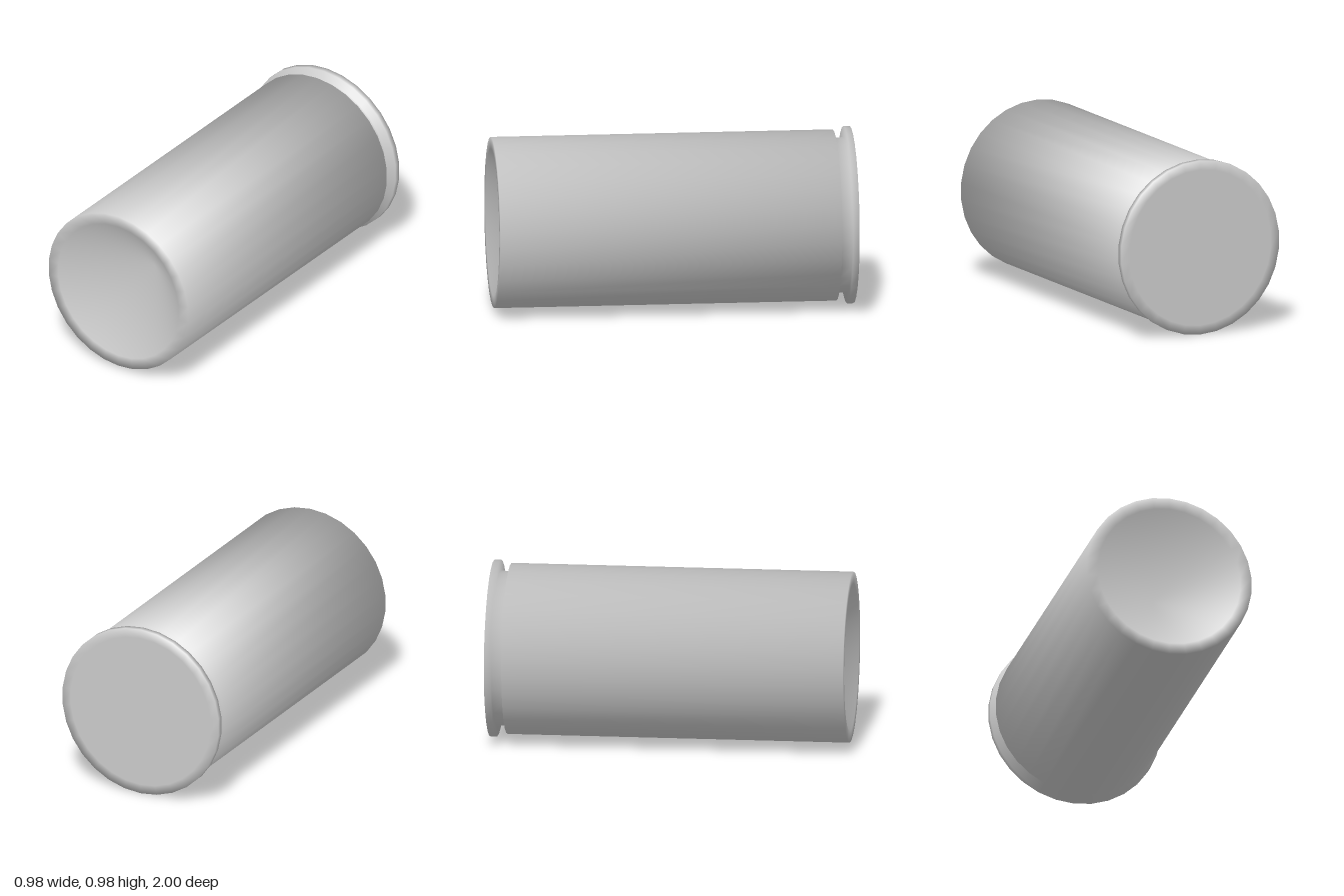
import * as THREE from 'three';

const SIDES = 30;
const CENTRE_Y = 0.492;

// Outline as [radius, z], from the centre of the base round to the bottom of the mouth
const profile = [
  [0, -1], [0.44, -1], [0.492, -1], [0.492, -0.965], // base rim
  [0.43, -0.965], [0.43, -0.905],                    // extractor groove
  [0.475, -0.905], [0.475, 1],                       // tube wall
  [0.41, 1], [0, 0.65],                              // lip and hollow mouth
].map(([r, z]) => new THREE.Vector2(r, z));

// Outline normals: equal average of the two neighbouring segments, for soft shading
const segmentNormals = profile.slice(1).map((p, i) => {
  const d = p.clone().sub(profile[i]).normalize();
  return new THREE.Vector2(d.y, -d.x);
});
const normals = profile.map((p, i) => {
  if (i <= 1) return new THREE.Vector2(0, -1);
  if (i === profile.length - 1) return new THREE.Vector2(0, 1);
  return segmentNormals[i - 1].clone().add(segmentNormals[i]).normalize();
});

// Turns one stretch of the outline into a round part lying along z
function turnedPart(name, from, to, material) {
  const points = profile.slice(from, to + 1);
  const geometry = new THREE.LatheGeometry(points, SIDES);
  const attribute = geometry.attributes.normal;
  for (let i = 0; i <= SIDES; i++) {
    const a = (i / SIDES) * Math.PI * 2;
    points.forEach((p, j) => {
      const n = normals[from + j];
      attribute.setXYZ(i * points.length + j, n.x * Math.sin(a), n.y, n.x * Math.cos(a));
    });
  }
  geometry.rotateX(Math.PI / 2);
  geometry.translate(0, CENTRE_Y, 0);
  const mesh = new THREE.Mesh(geometry, material);
  mesh.name = name;
  return mesh;
}

export function createModel() {
  const group = new THREE.Group();
  group.name = 'casing';
  const material = new THREE.MeshStandardMaterial({ color: 0xcccccc });
  group.add(
    turnedPart('baseRim', 0, 3, material),
    turnedPart('extractorGroove', 3, 6, material),
    turnedPart('tubeWall', 6, 7, material),
    turnedPart('hollowMouth', 7, 9, material),
  );
  return group;
}
